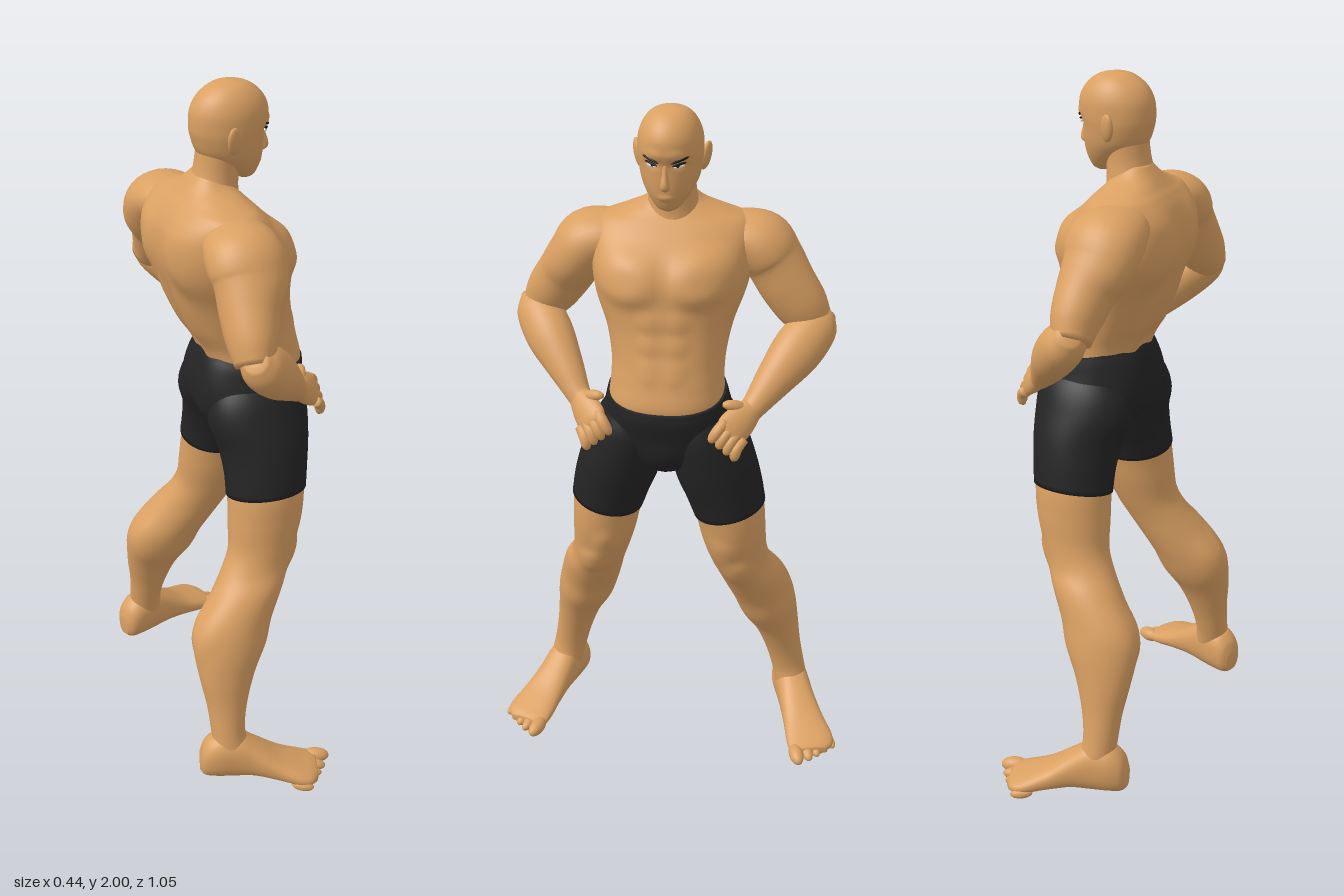
import * as THREE from 'three';

const V = (x, y, z) => new THREE.Vector3(x, y, z);
const skin = new THREE.MeshStandardMaterial({ color: 0xdaa062 });
skin.name = 'skin';
const cloth = new THREE.MeshStandardMaterial({ color: 0x242424 });
cloth.name = 'shorts cloth';
const dark = new THREE.MeshStandardMaterial({ color: 0x151312 });
dark.name = 'brow and pupil';
const white = new THREE.MeshStandardMaterial({ color: 0xe6ded4 });
white.name = 'eye white';

// Smooth closed loft through elliptical stations [x, y, z, halfWidth, halfDepth].
// axis fixes the ring normal; otherwise rings follow the path.
function loft(st, { axis, power = 1, seg = 32, sub = 5, rule } = {}) {
  const curve = (f) => new THREE.CatmullRomCurve3(st.map(f), false, 'catmullrom', 0.5);
  const path = curve((s) => V(s[0], s[1], s[2]));
  const size = curve((s) => V(s[3], s[4], 0));
  const rows = (st.length - 1) * sub;
  const pos = [], idx = [];
  const sp = (v) => Math.sign(v) * Math.pow(Math.abs(v), power);
  for (let i = 0; i <= rows; i++) {
    const c = path.getPoint(i / rows), r = size.getPoint(i / rows);
    const t = axis ? axis.clone().normalize() : path.getTangent(i / rows);
    const u = (Math.abs(t.z) > 0.9 ? V(0, 1, 0) : V(0, 0, 1)).cross(t).normalize();
    const v = t.clone().cross(u);
    for (let j = 0; j < seg; j++) {
      const a = (j / seg) * Math.PI * 2, s = Math.sin(a);
      const p = c.clone().addScaledVector(u, r.x * sp(Math.cos(a))).addScaledVector(v, r.y * sp(s));
      if (rule) rule(p, s);
      pos.push(p.x, p.y, p.z);
      if (i < rows) {
        const k = i * seg + j, n = i * seg + (j + 1) % seg;
        idx.push(k, n, k + seg, n, n + seg, k + seg);
      }
    }
  }
  // end caps
  for (const i of [0, rows]) {
    const m = pos.length / 3, c = V(0, 0, 0);
    for (let j = 0; j < seg; j++) c.add(V(...pos.slice((i * seg + j) * 3, (i * seg + j) * 3 + 3)));
    c.divideScalar(seg);
    pos.push(c.x, c.y, c.z);
    for (let j = 0; j < seg; j++) {
      const k = i * seg + j, n = i * seg + (j + 1) % seg;
      if (i) idx.push(k, n, m); else idx.push(n, k, m);
    }
  }
  const g = new THREE.BufferGeometry();
  g.setAttribute('position', new THREE.Float32BufferAttribute(pos, 3));
  g.setIndex(idx);
  g.computeVertexNormals();
  return g;
}

// Rows [y, back z, front z, half width] to centred stations
const upright = (rows) => rows.map(([y, b, f, a]) => [0, y, (b + f) / 2, a, (f - b) / 2]);
const DOWN = V(0, -1, 0);

// Soft muscle swellings [x, y, rx, ry, height, facing], mirrored across x
const muscles = (list) => (p, s) => {
  let d = 0;
  for (const [x, y, rx, ry, h, face] of list) {
    if (s * face <= 0) continue;
    const q = ((Math.abs(p.x) - x) / rx) ** 2 + ((p.y - y) / ry) ** 2;
    d += face * h * Math.exp(-q * q) * Math.min(1, 2 * Math.abs(s));
  }
  p.z += d;
};

function add(parent, name, geo, mat) {
  const m = new THREE.Mesh(geo, mat);
  m.name = name;
  parent.add(m);
  return m;
}

function blob(parent, name, mat, c, r, rot = [0, 0, 0]) {
  const m = add(parent, name, new THREE.SphereGeometry(1, 20, 14), mat);
  m.position.set(...c);
  m.scale.set(...r);
  m.rotation.set(...rot);
}

function buildTorso(body) {
  const shape = muscles([
    [0.1, 1.57, 0.095, 0.066, 0.025, 1],
    [0.036, 1.46, 0.03, 0.027, 0.005, 1], [0.036, 1.4, 0.03, 0.027, 0.005, 1], [0.036, 1.33, 0.03, 0.035, 0.004, 1],
    [0.115, 1.57, 0.08, 0.1, 0.016, -1], [0.05, 1.36, 0.035, 0.12, 0.012, -1],
  ]);
  add(body, 'torso', loft(upright([
    [1.765, -0.085, -0.01, 0.05], [1.735, -0.11, 0.01, 0.085], [1.71, -0.13, 0.03, 0.145],
    [1.69, -0.148, 0.05, 0.195], [1.66, -0.168, 0.08, 0.215], [1.62, -0.182, 0.115, 0.215],
    [1.56, -0.185, 0.14, 0.212], [1.5, -0.175, 0.157, 0.2], [1.42, -0.145, 0.166, 0.172],
    [1.34, -0.11, 0.183, 0.156], [1.28, -0.075, 0.198, 0.154], [1.22, -0.06, 0.21, 0.158], [1.17, -0.05, 0.19, 0.15],
  ]), {
    axis: DOWN, power: 0.87, seg: 80, sub: 8,
    rule: (p, s) => {
      shape(p, s);
      p.z -= 0.09 * p.x * THREE.MathUtils.smoothstep(p.y, 1.25, 1.5);
    },
  }), skin);
  add(body, 'neck', loft([
    [0, 1.84, -0.015, 0.062, 0.058], [0, 1.77, -0.024, 0.063, 0.06],
    [0, 1.7, -0.036, 0.076, 0.072], [0, 1.62, -0.03, 0.09, 0.09],
  ], { axis: DOWN }), skin);

  // Shorts: hips with a waistband that sits higher at the back
  const hips = muscles([[0.08, 1.12, 0.075, 0.09, 0.015, -1], [0, 1.06, 0.045, 0.05, 0.006, 1]]);
  add(body, 'shortsHips', loft(upright([
    [1.238, -0.064, 0.216, 0.163], [1.2, -0.08, 0.217, 0.172], [1.13, -0.09, 0.204, 0.188],
    [1.07, -0.078, 0.188, 0.17], [1.025, -0.042, 0.165, 0.1], [0.995, 0.01, 0.125, 0.028],
  ]), {
    axis: DOWN, power: 0.9, seg: 64, sub: 8,
    rule: (p, s) => {
      hips(p, s);
      p.y -= (p.z - 0.09) * 0.17 * THREE.MathUtils.smoothstep(p.y, 1.12, 1.23);
    },
  }), cloth);
}

function buildHead(body) {
  const head = new THREE.Group();
  head.name = 'head';
  body.add(head);
  add(head, 'skull', loft(upright([
    [2.0, 0.0, 0.025, 0.012], [1.99, -0.035, 0.065, 0.045], [1.965, -0.07, 0.098, 0.069],
    [1.93, -0.09, 0.116, 0.083], [1.89, -0.094, 0.115, 0.086], [1.86, -0.09, 0.107, 0.084],
    [1.82, -0.075, 0.104, 0.076], [1.79, -0.04, 0.1, 0.062], [1.765, -0.005, 0.092, 0.045],
    [1.747, 0.028, 0.082, 0.028], [1.738, 0.045, 0.068, 0.012],
  ]), {
    axis: DOWN, seg: 56, sub: 6,
    rule: muscles([[0.034, 1.872, 0.022, 0.012, -0.005, 1], [0.03, 1.897, 0.03, 0.012, 0.004, 1], [0, 1.782, 0.02, 0.008, 0.004, 1]]),
  }), skin);
  add(head, 'nose', loft([
    [0, 1.88, 0.1, 0.007, 0.008], [0, 1.85, 0.103, 0.008, 0.013],
    [0, 1.825, 0.106, 0.012, 0.018], [0, 1.811, 0.104, 0.013, 0.018], [0, 1.803, 0.099, 0.008, 0.01],
  ], { axis: DOWN, seg: 16 }), skin);
  for (const s of [1, -1]) {
    blob(head, 'ear', skin, [s * 0.089, 1.868, -0.008], [0.011, 0.038, 0.022], [-0.2, s * -0.35, s * -0.2]);
    blob(head, 'eyeWhite', white, [s * 0.036, 1.869, 0.1], [0.015, 0.0045, 0.004], [0, s * 0.5, s * 0.15]);
    blob(head, 'pupil', dark, [s * 0.032, 1.87, 0.1025], [0.006, 0.005, 0.004], [0, s * 0.5, 0]);
    blob(head, 'eyelid', dark, [s * 0.036, 1.875, 0.102], [0.02, 0.003, 0.004], [0, s * 0.5, s * 0.2]);
    blob(head, 'brow', dark, [s * 0.038, 1.886, 0.104], [0.026, 0.0035, 0.004], [0, s * 0.5, s * 0.28]);
  }
}

function buildArm(side) {
  const arm = new THREE.Group();
  arm.name = side > 0 ? 'leftArm' : 'rightArm';
  arm.scale.x = side;
  const d = -0.024 * side; // slight twist of the shoulders
  add(arm, 'upperArm', loft([
    [0.11, 1.635, -0.06 + d, 0.05, 0.07], [0.17, 1.633, -0.06 + d, 0.066, 0.095], [0.23, 1.61, -0.062 + d, 0.084, 0.106],
    [0.266, 1.565, -0.064 + d, 0.08, 0.1], [0.304, 1.505, -0.066 + d / 3, 0.078, 0.08],
    [0.35, 1.44, -0.07, 0.072, 0.066], [0.385, 1.39, -0.077, 0.054, 0.05],
  ]), skin);
  add(arm, 'forearm', loft([
    [0.416, 1.42, -0.09, 0.028, 0.03], [0.392, 1.388, -0.062, 0.062, 0.056], [0.345, 1.335, -0.005, 0.07, 0.06],
    [0.29, 1.27, 0.055, 0.053, 0.048], [0.245, 1.215, 0.105, 0.036, 0.033], [0.222, 1.195, 0.13, 0.034, 0.026],
  ]), skin);

  // Hand resting on the hip
  add(arm, 'palm', loft([
    [0.24, 1.21, 0.112, 0.032, 0.026], [0.215, 1.19, 0.145, 0.045, 0.026],
    [0.19, 1.17, 0.178, 0.048, 0.022], [0.178, 1.161, 0.19, 0.038, 0.015],
  ]), skin);
  const thick = [0.014, 0.016, 0.0135, 0.006];
  const finger = (name, pts) => add(arm, name, loft(pts.map((p, i) => [...p, thick[i], thick[i]]), { seg: 12 }), skin);
  for (let i = 0; i < 4; i++) {
    const x = 0.162 + i * 0.017, y = 1.192 - i * 0.017;
    finger('finger', [
      [x + 0.012, y + 0.006, 0.178], [x - 0.005, y - 0.014, 0.198],
      [x - 0.019 + i * 0.003, y - 0.036, 0.203], [x - 0.025 + i * 0.004, y - 0.047, 0.2],
    ]);
  }
  finger('thumb', [[0.222, 1.21, 0.125], [0.2, 1.226, 0.14], [0.178, 1.233, 0.15], [0.163, 1.234, 0.152]]);
  return arm;
}

function buildLeg(side) {
  const leg = new THREE.Group();
  leg.name = side > 0 ? 'leftLeg' : 'rightLeg';
  leg.scale.x = side;
  const axis = V(0.22, -0.975, 0);
  add(leg, 'shortsLeg', loft([
    [0.085, 1.19, 0.065, 0.078, 0.115], [0.1, 1.13, 0.058, 0.1, 0.14], [0.116, 1.07, 0.055, 0.11, 0.144],
    [0.137, 1.0, 0.062, 0.115, 0.13], [0.16, 0.93, 0.06, 0.11, 0.12], [0.177, 0.865, 0.055, 0.104, 0.116],
  ], { axis, seg: 48 }), cloth);
  add(leg, 'leg', loft([
    [0.137, 1.0, 0.063, 0.1, 0.115], [0.175, 0.87, 0.055, 0.099, 0.112], [0.19, 0.78, 0.047, 0.093, 0.109],
    [0.204, 0.7, 0.032, 0.083, 0.1], [0.22, 0.64, 0.005, 0.079, 0.102], [0.244, 0.58, -0.032, 0.087, 0.107],
    [0.268, 0.5, -0.08, 0.088, 0.113], [0.288, 0.43, -0.1, 0.084, 0.108], [0.314, 0.35, -0.12, 0.067, 0.083],
    [0.336, 0.26, -0.13, 0.055, 0.06], [0.354, 0.18, -0.135, 0.051, 0.05], [0.367, 0.12, -0.13, 0.05, 0.052],
    [0.372, 0.08, -0.125, 0.04, 0.045],
  ], {
    axis, seg: 40, sub: 6,
    rule: muscles([
      [0.215, 0.665, 0.045, 0.045, 0.012, 1], [0.165, 0.74, 0.04, 0.05, 0.008, 1],
      [0.3, 0.5, 0.04, 0.08, 0.006, -1], [0.23, 0.47, 0.035, 0.08, 0.008, -1],
    ]),
  }), skin);

  // Foot turned outward, rows [z, half width, top, sole, sideways shift]
  const foot = new THREE.Group();
  foot.name = 'foot';
  foot.position.set(0.37, 0, -0.13);
  foot.rotation.y = 0.32;
  leg.add(foot);
  add(foot, 'footBody', loft([
    [-0.094, 0.022, 0.1, 0.04, 0], [-0.078, 0.043, 0.14, 0.026, 0], [-0.04, 0.053, 0.168, 0.022, 0],
    [0.02, 0.054, 0.168, 0.02, 0], [0.07, 0.056, 0.137, 0.022, 0.002], [0.14, 0.064, 0.09, 0.015, 0.008],
    [0.2, 0.073, 0.062, 0.007, 0.012], [0.235, 0.069, 0.048, 0.006, 0.009], [0.255, 0.055, 0.038, 0.009, -0.003],
  ].map(([z, w, t, b, x]) => [x, (t + b) / 2, z, w, (t - b) / 2]), { axis: V(0, 0, 1), power: 0.85 }), skin);
  for (let i = 0; i < 5; i++) {
    const r = i ? 0.0185 - i * 0.0008 : 0.022;
    blob(foot, 'toe', skin, [i ? -0.035 + i * 0.0275 : -0.043, r + 0.002, 0.258 - i * 0.013], [r, r, 0.041 - i * 0.002], [0.1, 0.05 * i, 0]);
  }
  return leg;
}

export function createModel() {
  const model = new THREE.Group();
  model.name = 'standingFigure';
  const body = new THREE.Group();
  body.name = 'body';
  body.rotation.y = Math.PI / 2; // the figure looks along +x
  model.add(body);
  buildTorso(body);
  buildHead(body);
  for (const side of [1, -1]) body.add(buildArm(side), buildLeg(side));
  return model;
}
